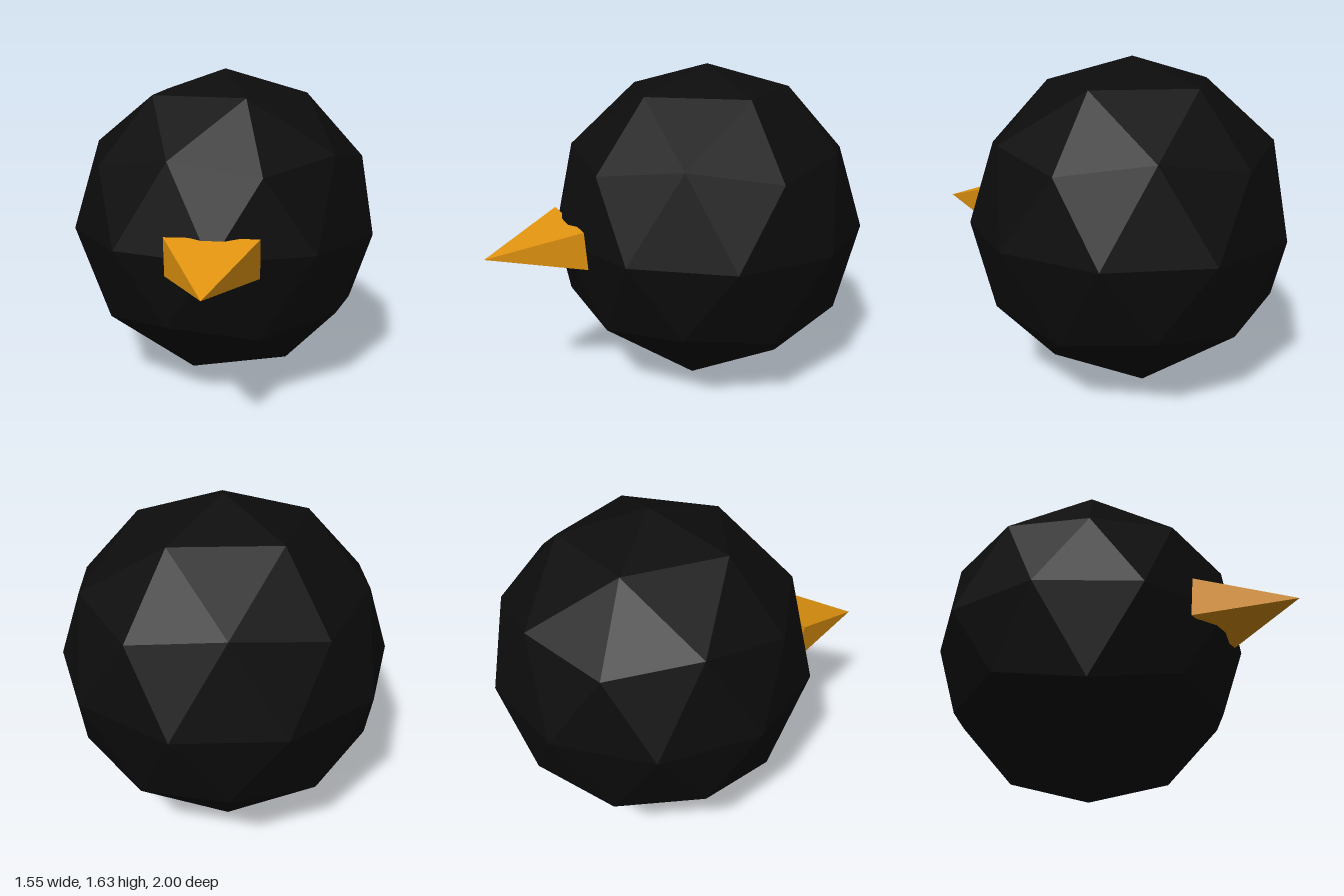
import * as THREE from 'three';

const black = new THREE.MeshStandardMaterial({ color: 0x0c0c0c });
black.name = 'black';
const orange = new THREE.MeshStandardMaterial({ color: 0xe0930f });
orange.name = 'orange';

// Faceted ball: an icosahedron standing on its pole, subdivided once
function ballGeometry(radius) {
  const h = 1 / Math.sqrt(5), r = 2 * h;
  const ring = (y, offset) => Array.from({ length: 5 }, (_, i) => {
    const a = (i + offset) * Math.PI * 0.4;
    return [r * Math.cos(a), y, -r * Math.sin(a)];
  }).flat();
  const points = [0, 1, 0, ...ring(h, 0), ...ring(-h, 0.5), 0, -1, 0];
  const faces = [];
  for (let i = 0; i < 5; i++) {
    const j = (i + 1) % 5;
    const u0 = 1 + i, u1 = 1 + j, l0 = 6 + i, l1 = 6 + j;
    faces.push(0, u0, u1, u0, l0, u1, l0, l1, u1, 11, l1, l0);
  }
  const geometry = new THREE.PolyhedronGeometry(points, faces, radius, 1);
  geometry.computeVertexNormals(); // unshared corners give flat facets
  return geometry;
}

// Beak: four-sided pyramid with its tip pointing forward
function beakGeometry() {
  const points = [
    -0.22, 0.92, 0.575, 0.22, 0.92, 0.575,
    0.22, 0.73, 0.56, -0.22, 0.73, 0.56,
    0, 0.78, 1,
  ];
  const faces = [0, 1, 2, 0, 2, 3];
  for (let i = 0; i < 4; i++) faces.push(4, (i + 1) % 4, i);
  const indexed = new THREE.BufferGeometry();
  indexed.setAttribute('position', new THREE.Float32BufferAttribute(points, 3));
  indexed.setIndex(faces);
  const geometry = indexed.toNonIndexed();
  geometry.computeVertexNormals();
  return geometry;
}

export function createModel() {
  const group = new THREE.Group();
  group.name = 'birdHead';

  const head = new THREE.Mesh(ballGeometry(0.815), black);
  head.name = 'head';
  head.position.set(0, 0.818, -0.185);

  const beak = new THREE.Mesh(beakGeometry(), orange);
  beak.name = 'beak';

  group.add(head, beak);
  return group;
}
